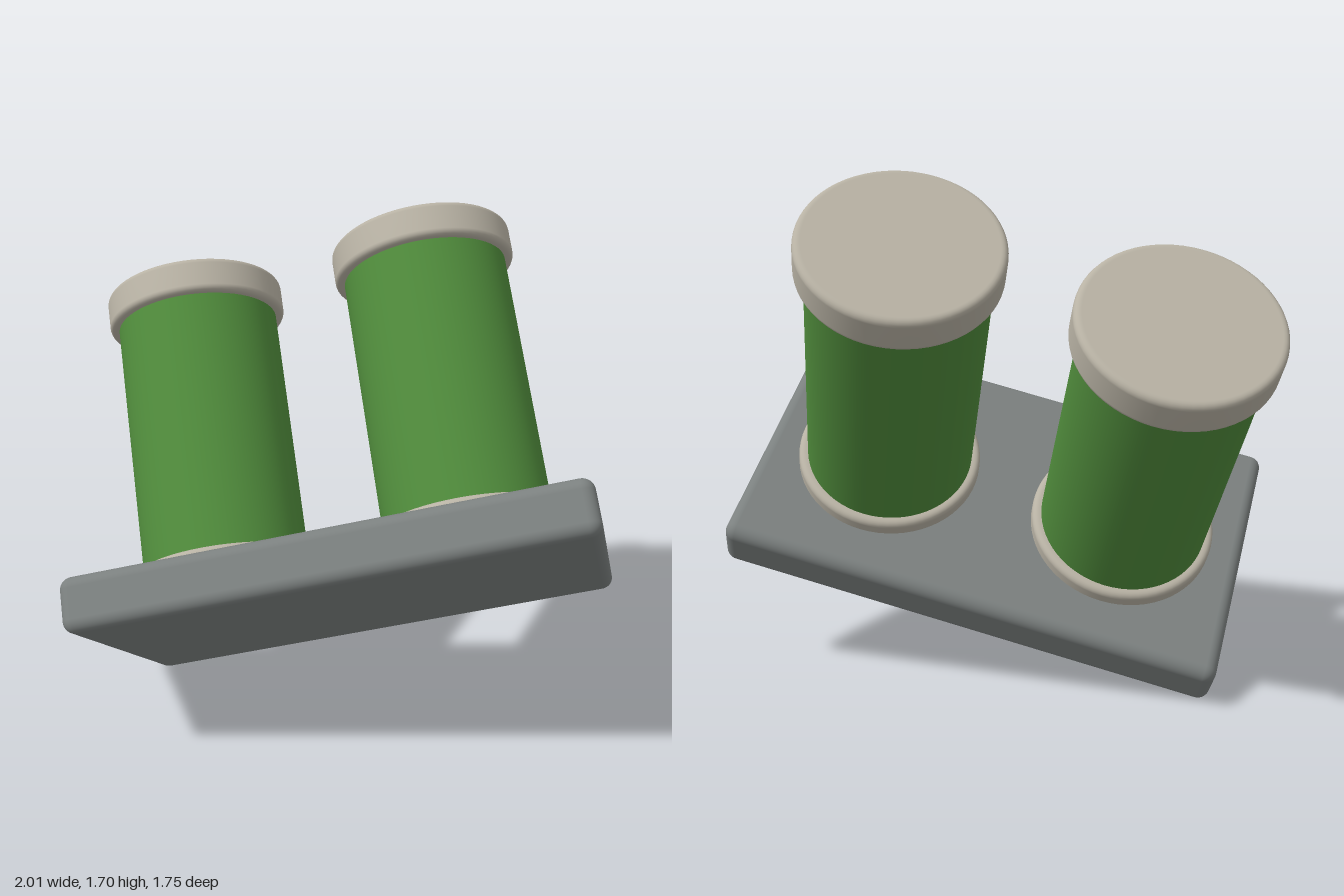
import * as THREE from 'three';
import { RoundedBoxGeometry } from 'three/addons/geometries/RoundedBoxGeometry.js';

const mat = (name, color) => {
  const m = new THREE.MeshStandardMaterial({ color });
  m.name = name;
  return m;
};

// solid disc with rounded rims, centred on its own middle
function roundedDisc(radius, height, r) {
  const h = height / 2;
  const pts = [new THREE.Vector2(0, -h), new THREE.Vector2(radius - r - 0.004, -h)];
  for (const [cy, start] of [[-h + r, -Math.PI / 2], [h - r, 0]]) {
    for (let i = 0; i <= 5; i++) {
      const a = start + (i / 5) * (Math.PI / 2);
      pts.push(new THREE.Vector2(radius - r + r * Math.cos(a), cy + r * Math.sin(a)));
    }
  }
  pts.push(new THREE.Vector2(radius - r - 0.004, h), new THREE.Vector2(0, h));
  return new THREE.LatheGeometry(pts, 64);
}

export function createModel() {
  const grey = mat('slate grey', 0x7b807f);
  const green = mat('leaf green', 0x4f8a3b);
  const stone = mat('warm stone', 0xb8b2a4);

  const model = new THREE.Group();
  model.name = 'twinCylinderStand';

  const add = (parent, name, geometry, material, y = 0) => {
    const mesh = new THREE.Mesh(geometry, material);
    mesh.name = name;
    mesh.position.y = y;
    parent.add(mesh);
  };

  // everything is built upright, then tilted as one piece
  const tilted = new THREE.Group();
  tilted.name = 'tiltedBody';
  model.add(tilted);

  add(tilted, 'basePlate', new RoundedBoxGeometry(1.676, 0.18, 0.935, 5, 0.04), grey);

  // two identical cylinders with a foot ring and a cap
  const disc = roundedDisc(0.31, 0.12, 0.02);
  const tube = new THREE.CylinderGeometry(0.28, 0.28, 0.96, 64, 1, true);
  for (const side of [-1, 1]) {
    const column = new THREE.Group();
    column.name = side < 0 ? 'rightColumn' : 'leftColumn';
    column.position.x = side * 0.415;
    add(column, 'footRing', disc, stone, 0.08);
    add(column, 'cylinderBody', tube, green, 0.58);
    add(column, 'cap', disc, stone, 1.082);
    tilted.add(column);
  }

  // tilt: long axis, plate normal and short axis of the base
  const along = new THREE.Vector3(0.802, 0.247, -0.543).normalize();
  const across = new THREE.Vector3(0.328, 0.569, 0.755);
  const normal = across.clone().cross(along).normalize();
  across.crossVectors(along, normal);
  tilted.quaternion.setFromRotationMatrix(new THREE.Matrix4().makeBasis(along, normal, across));
  tilted.position.set(0.155, 0.52, 0.055);

  return model;
}
